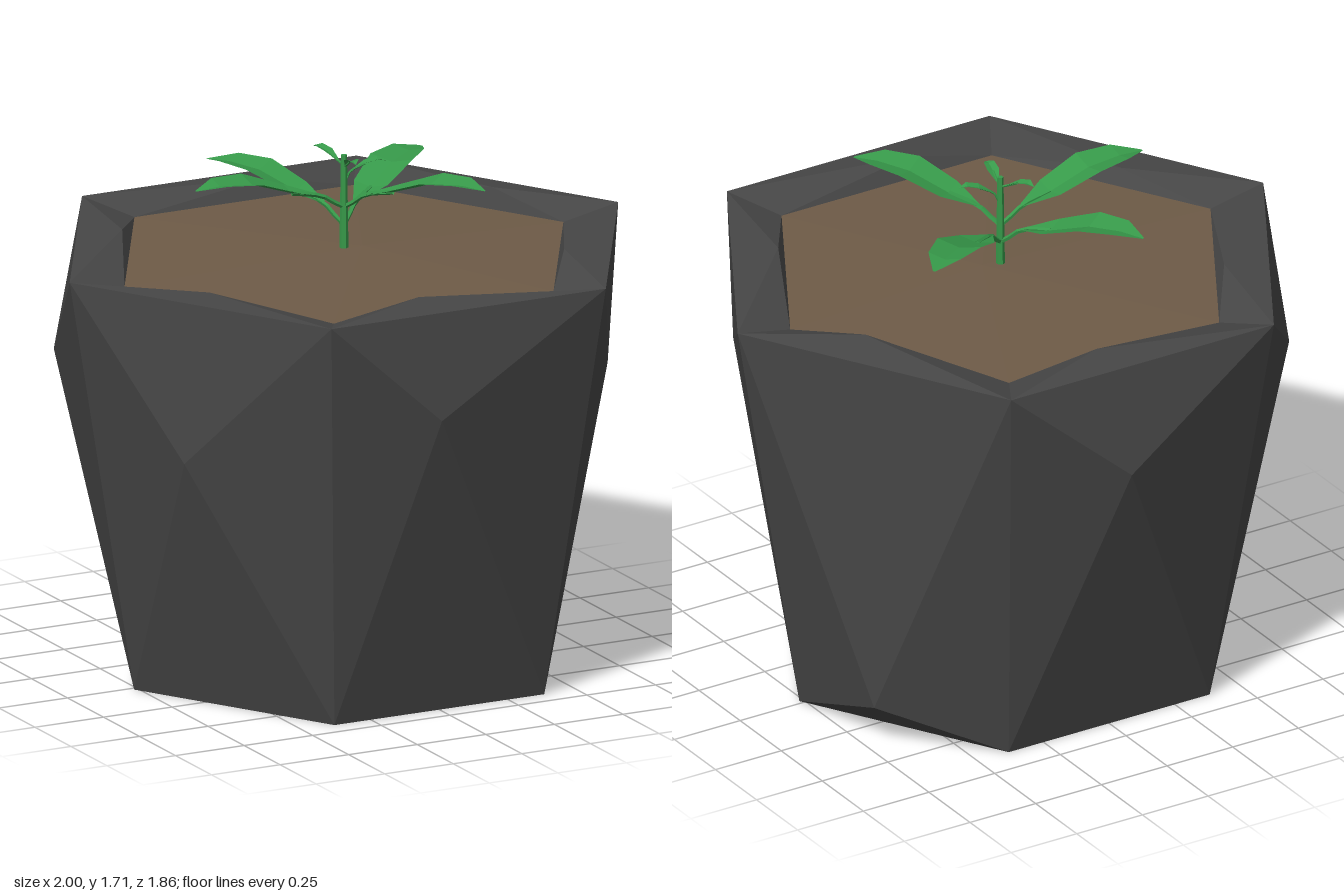
import * as THREE from 'three';

const mat = (name, color, extra = {}) => {
  const m = new THREE.MeshStandardMaterial({ color, flatShading: true, ...extra });
  m.name = name;
  return m;
};

const CZ = 0.015; // depth of the pot axis

// Hexagon corners at a given radius and height
const hexagon = (r, y) => Array.from({ length: 6 }, (_, k) => {
  const a = (k * Math.PI) / 3;
  return [r * Math.cos(a), y, CZ + r * Math.sin(a)];
});

// Closed fan of triangles from a loop of corners to one hub point
const fan = (loop, hub) => loop.flatMap((p, i) => [p, loop[(i + 1) % loop.length], hub]);

function facetMesh(name, points, material) {
  const g = new THREE.BufferGeometry();
  g.setAttribute('position', new THREE.Float32BufferAttribute(points.flat(), 3));
  g.computeVertexNormals();
  const mesh = new THREE.Mesh(g, material);
  mesh.name = name;
  return mesh;
}

// Six-sided panels between two hexagons, each folded about its own hub
const panels = (upper, lower, hubs) => hubs.flatMap((hub, k) => {
  const n = (k + 1) % 6;
  return fan([upper[k], upper[n], lower[n], lower[k]], hub);
});

// One leaf: folded blade made from cross-sections, plus its stalk
function makeLeaf(name, { tip, tipY, attachY, width, small }, material) {
  const leaf = new THREE.Group();
  leaf.name = name;
  const length = Math.hypot(tip[0], tip[1] - CZ);
  const dx = tip[0] / length, dz = (tip[1] - CZ) / length;
  const at = (along, y, side) => [dx * along - dz * side, y, CZ + dz * along + dx * side];

  // fraction of length, height below the tip, fraction of half width
  const stations = small
    ? [[0.15, -0.03, 0.15], [0.5, 0.0, 0.9], [0.8, 0.01, 0.8], [1, 0, 0.05]]
    : [[0.15, -0.075, 0.12], [0.35, -0.04, 0.8], [0.62, 0.012, 1], [0.84, 0.018, 0.75], [1, 0, 0.06]];
  const rows = stations.map(([f, h, w]) => [-1, 0, 1].map((s) =>
    at(f * length, tipY + h - (s === 0 ? (small ? 0.008 : 0.018) * w : 0), s * w * width / 2)));
  const tris = [];
  for (let i = 0; i < rows.length - 1; i++) {
    for (let j = 0; j < 2; j++) {
      const a = rows[i][j], b = rows[i][j + 1], c = rows[i + 1][j + 1], d = rows[i + 1][j];
      tris.push(a, b, c, a, c, d);
    }
  }
  leaf.add(facetMesh('leafBlade', tris, material));

  const curve = new THREE.CatmullRomCurve3([
    at(0, attachY, 0),
    at(0.08 * length, (attachY + rows[0][1][1]) / 2, 0),
    rows[0][1], rows[1][1],
  ].map((p) => new THREE.Vector3(...p)));
  const stalk = new THREE.Mesh(new THREE.TubeGeometry(curve, 5, small ? 0.004 : 0.008, 5), material);
  stalk.name = 'leafStalk';
  leaf.add(stalk);
  return leaf;
}

export function createModel() {
  const model = new THREE.Group();
  model.name = 'pottedPlant';
  const charcoal = mat('charcoal', 0x464646);
  const earth = mat('earth', 0x6e5b47);
  const green = mat('leafGreen', 0x379a4a, { side: THREE.DoubleSide });

  const top = hexagon(1, 1.4);
  const base = hexagon(0.765, 0);
  const inner = hexagon(0.8, 1.36);

  // Pot walls: right front, front, left front, left back, back, right back
  const wallHubs = [
    [0.67, 1.05, 0.57], [-0.12, 1.05, 0.925], [-0.8, 0.87, 0.43],
    [-0.84, 1.05, -0.4], [0.09, 1.05, -0.93], [0.74, 0.15, -0.4],
  ];
  // Raised chips along the rim, in the same order
  const rimHubs = [
    [0.58, 1.41, 0.44], [-0.11, 1.42, 0.745], [-0.66, 1.405, 0.34],
    [-0.58, 1.41, -0.42], [0.09, 1.415, -0.715], [0.68, 1.425, -0.25],
  ];
  const pot = new THREE.Group();
  pot.name = 'pot';
  pot.add(
    facetMesh('potWalls', panels(top, base, wallHubs), charcoal),
    facetMesh('potRim', panels(inner, top, rimHubs), charcoal),
    facetMesh('potBase', fan(base, [0, 0, CZ]), charcoal),
  );
  model.add(pot);

  // Soil, slightly mounded
  model.add(facetMesh('soil', fan([...inner].reverse(), [0.06, 1.385, 0.03]), earth));

  // Plant
  const plant = new THREE.Group();
  plant.name = 'plant';
  const stem = new THREE.Mesh(new THREE.CylinderGeometry(0.01, 0.015, 0.33, 6), green);
  stem.name = 'stem';
  stem.position.set(0, 1.53, CZ);
  plant.add(stem);
  const big = [
    [[-0.54, 0.015], 1.645, 1.52], [[0.28, 0.46], 1.65, 1.52],
    [[0.43, -0.27], 1.595, 1.46], [[-0.26, -0.44], 1.6, 1.46],
  ];
  for (const [tip, tipY, attachY] of big) {
    plant.add(makeLeaf('leaf', { tip, tipY, attachY, width: 0.155 }, green));
  }
  const young = [
    [[0.13, 0.06], 1.67, 1.6], [[-0.02, 0.135], 1.695, 1.66], [[-0.05, -0.11], 1.7, 1.66],
  ];
  for (const [tip, tipY, attachY] of young) {
    plant.add(makeLeaf('youngLeaf', { tip, tipY, attachY, width: 0.045, small: true }, green));
  }
  model.add(plant);
  return model;
}
